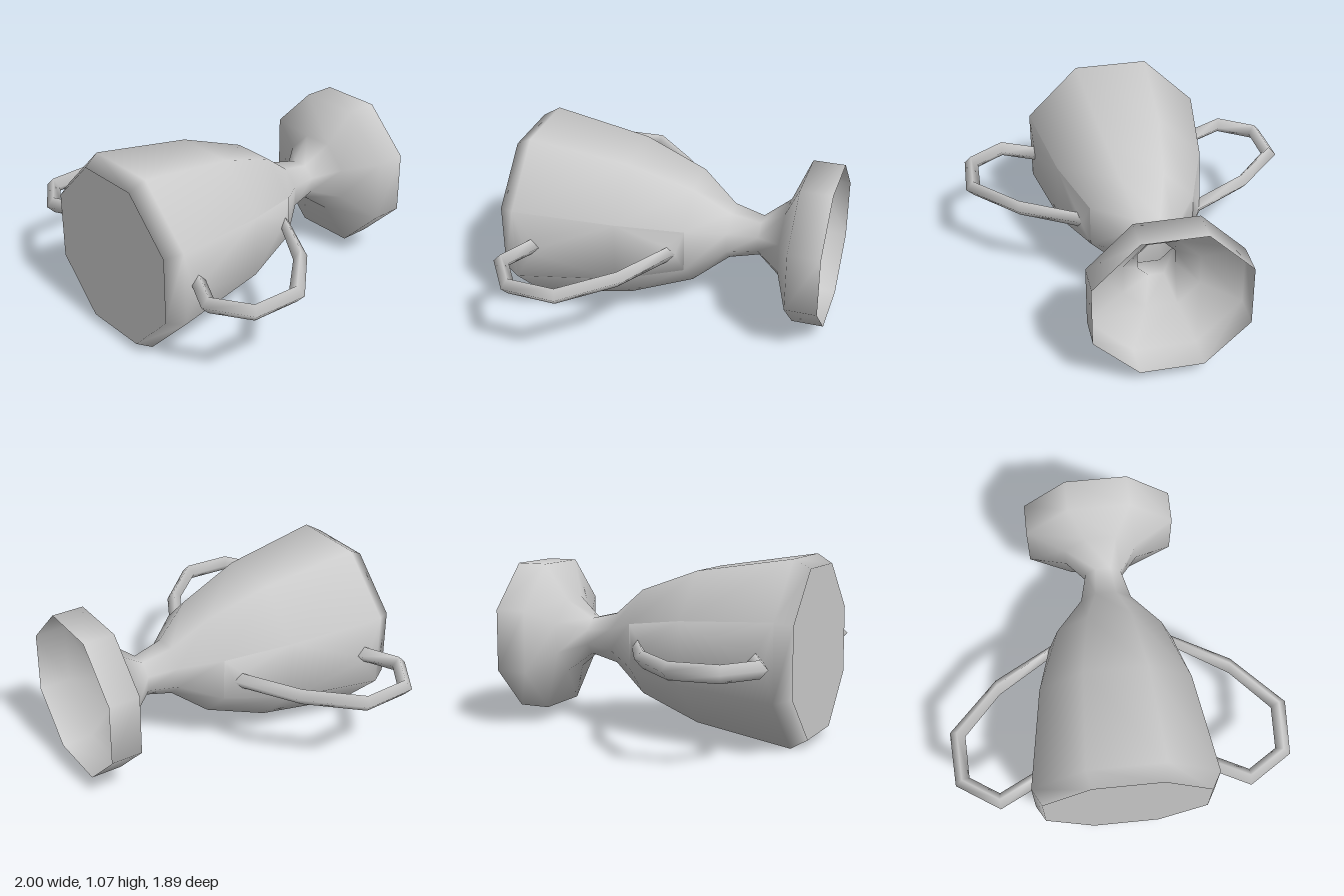
import * as THREE from 'three';

const material = new THREE.MeshStandardMaterial({ color: 0xcccccc, side: THREE.DoubleSide });

// Smooth mesh from corner positions and triangle indices
function createMesh(name, positions, indices) {
  const geometry = new THREE.BufferGeometry();
  geometry.setAttribute('position', new THREE.Float32BufferAttribute(positions, 3));
  geometry.setIndex(indices);
  geometry.computeVertexNormals();
  const mesh = new THREE.Mesh(geometry, material);
  mesh.name = name;
  return mesh;
}

// Octagonal shell turned around z; radii are measured to the flats
// The last two points are the rim and the tip of the conical hollow
function createCup() {
  const profile = [
    [0.448, -0.945], [0.448, -0.755], [0.223, -0.66], [0.11, -0.51], [0.152, -0.33],
    [0.313, -0.12], [0.447, 0.26], [0.537, 0.85], [0.483, 0.945], [0, -0.3],
  ].map(([r, z]) => new THREE.Vector2(r / Math.cos(Math.PI / 8), z));
  const geometry = new THREE.LatheGeometry(profile, 8, Math.PI / 8);

  // Soft shading across the hollow
  const normals = geometry.getAttribute('normal');
  for (let i = 0; i < normals.count; i++) {
    if (i % profile.length >= profile.length - 2) normals.setXYZ(i, 0, 1, 0);
  }
  geometry.rotateX(Math.PI / 2);
  const cup = new THREE.Mesh(geometry, material);
  cup.name = 'cupAndFoot';
  return cup;
}

// Angular handle with a diamond section: outer ridge, top, inner ridge, bottom
function createGrip() {
  const stations = [ // outer x, outer z, inner x, inner z
    [0.36, -0.08, 0.39, 0.01],
    [0.71, 0.11, 0.69, 0.2],
    [1.0, 0.41, 0.91, 0.44],
    [0.982, 0.732, 0.9, 0.69],
    [0.73, 0.895, 0.73, 0.8],
    [0.53, 0.795, 0.53, 0.7],
  ];
  const half = 0.05;
  const positions = [];
  const indices = [];
  stations.forEach(([ox, oz, ix, iz], i) => {
    const mx = (ox + ix) / 2;
    const mz = (oz + iz) / 2;
    positions.push(ox, 0, oz, mx, half, mz, ix, 0, iz, mx, -half, mz);
    if (i === 0) return;
    for (let k = 0; k < 4; k++) {
      const a = (i - 1) * 4 + k;
      const b = (i - 1) * 4 + ((k + 1) % 4);
      indices.push(a, b, a + 4, b, b + 4, a + 4);
    }
  });
  return createMesh('grip', positions, indices);
}

// Shallow raised panel between a flat of the cup and the diamond end of a handle
// Each pair is x, z at the back and front edge of the panel and of the diamond
function createSocket(name, [[x0, z0], [x1, z1]], [[dx0, dz0], [dx1, dz1]]) {
  const flat = Math.tan(Math.PI / 8);
  const mx = (dx0 + dx1) / 2;
  const mz = (dz0 + dz1) / 2;
  const positions = [
    x0, x0 * flat, z0, x1, x1 * flat, z1, x1, -x1 * flat, z1, x0, -x0 * flat, z0,
    dx0, 0, dz0, mx, 0.05, mz, dx1, 0, dz1, mx, -0.05, mz,
  ];
  const indices = [];
  for (let k = 0; k < 4; k++) {
    const next = (k + 1) % 4;
    indices.push(k, next, 4 + next, k, 4 + next, 4 + k);
  }
  const socket = createMesh(name, positions, indices);

  // Blend the panel corners into the rounded shading of the cup
  const normals = socket.geometry.getAttribute('normal');
  for (let k = 0; k < 4; k++) {
    normals.setXYZ(k, Math.cos(Math.PI / 8), (k < 2 ? 1 : -1) * Math.sin(Math.PI / 8), 0);
  }
  return socket;
}

function createHandle(name) {
  const handle = new THREE.Group();
  handle.name = name;
  handle.add(
    createGrip(),
    createSocket('backSocket', [[0.313, -0.12], [0.447, 0.26]], [[0.36, -0.08], [0.39, 0.01]]),
    createSocket('frontSocket', [[0.447, 0.26], [0.537, 0.85]], [[0.53, 0.7], [0.53, 0.795]]),
  );
  return handle;
}

export function createModel() {
  const model = new THREE.Group();
  model.name = 'trophyCup';

  const leftHandle = createHandle('leftHandle');
  const rightHandle = createHandle('rightHandle');
  rightHandle.rotation.z = Math.PI;

  // The cup lies on its side, resting on one flat of the octagon
  for (const part of [createCup(), leftHandle, rightHandle]) {
    part.position.y = 0.54;
    model.add(part);
  }
  return model;
}
